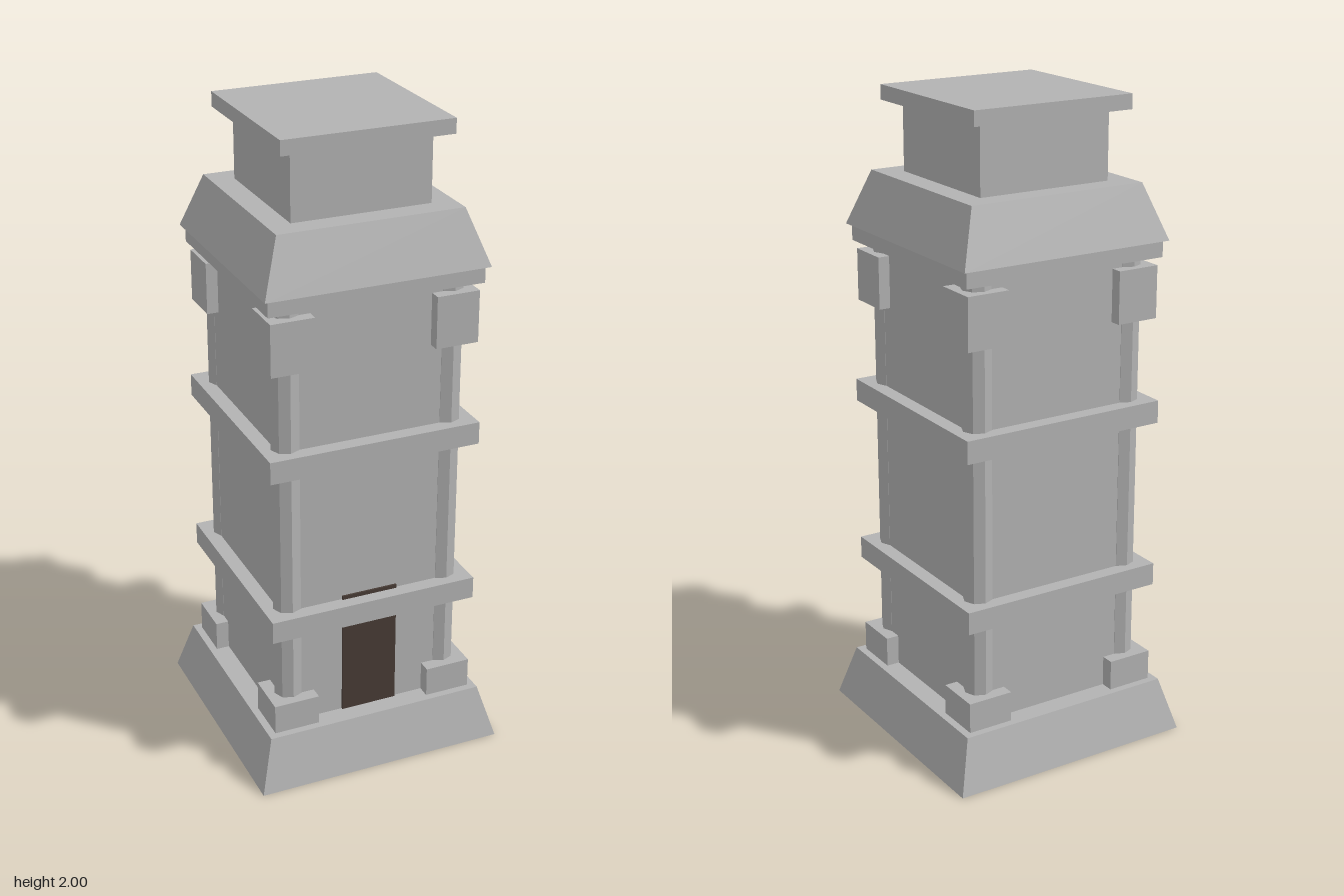
import * as THREE from 'three';

export function createModel() {
  const tower = new THREE.Group();
  tower.name = 'tower';
  const stone = new THREE.MeshStandardMaterial({ color: 0xb2b2b2 });
  stone.name = 'grey stone';
  const wood = new THREE.MeshStandardMaterial({ color: 0x473b35 });
  wood.name = 'dark brown wood';

  function add(name, geometry, x, y, z, material = stone) {
    const mesh = new THREE.Mesh(geometry, material);
    mesh.name = name;
    mesh.position.set(x, y, z);
    tower.add(mesh);
  }

  // Square block given by half width and bottom/top heights
  function block(name, half, y0, y1, x = 0, z = 0) {
    add(name, new THREE.BoxGeometry(half * 2, y1 - y0, half * 2), x, (y0 + y1) / 2, z);
  }

  // Square block that narrows towards the top
  function taperedBlock(name, halfBottom, halfTop, y0, y1) {
    const g = new THREE.BoxGeometry(2, y1 - y0, 2);
    const p = g.attributes.position;
    for (let i = 0; i < p.count; i++) {
      const half = p.getY(i) > 0 ? halfTop : halfBottom;
      p.setX(i, p.getX(i) * half);
      p.setZ(i, p.getZ(i) * half);
    }
    g.computeVertexNormals();
    add(name, g, 0, (y0 + y1) / 2, 0);
  }

  // Central mass
  taperedBlock('base', 0.396, 0.35, 0, 0.165);
  block('shaft', 0.286, 0.165, 1.53);
  block('lowerBand', 0.332, 0.49, 0.56);
  block('upperBand', 0.332, 1.02, 1.09);
  block('cornice', 0.332, 1.53, 1.58);
  taperedBlock('roof', 0.345, 0.286, 1.58, 1.747);
  block('chimneyNeck', 0.215, 1.747, 1.955);
  block('chimneyCap', 0.262, 1.955, 2);

  // Corner columns with footings and capitals
  const columnShape = new THREE.CylinderGeometry(0.045, 0.045, 1.365, 8).toNonIndexed();
  columnShape.computeVertexNormals();
  for (const sx of [-1, 1]) {
    for (const sz of [-1, 1]) {
      const x = sx * 0.255, z = sz * 0.255;
      add('cornerColumn', columnShape, x, 0.8475, z);
      block('columnFooting', 0.072, 0.165, 0.26, x, z);
      block('columnCapital', 0.067, 1.345, 1.505, x, z);
    }
  }

  // Front door, its top showing just above the lower band
  add('door', new THREE.BoxGeometry(0.178, 0.407, 0.008), 0, 0.3685, 0.288, wood);

  return tower;
}
